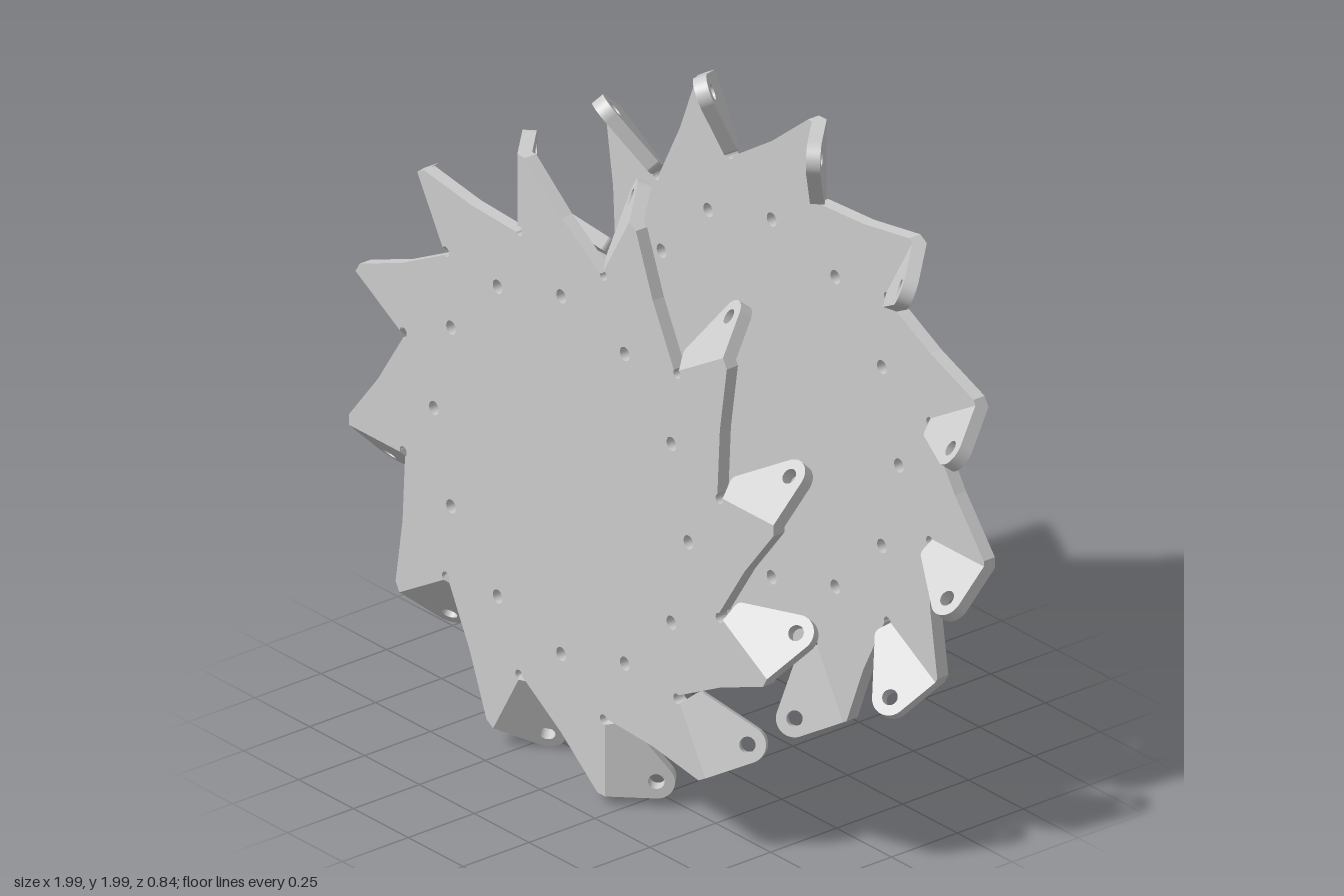
import * as THREE from 'three';

const COUNT = 12, STEP = Math.PI * 2 / COUNT;
const THICK = 0.042, FACE_Z = 0.42;   // sheet thickness, outer face position
const BEND_V = 0.2, RIM = 0.967;      // bend line offset, outer edge of each tooth

const circle = (x, y, r) => new THREE.Path().absarc(x, y, r, 0, Math.PI * 2, true);

// Flat sheet: saw-tooth outline with a round relief notch at each bend
function discShape() {
  const points = [];
  const origin = new THREE.Vector2();
  for (let k = 0; k < COUNT; k++) {
    const tooth = [[0.835, 0], [RIM, 0.165], [RIM, BEND_V], [0.735, BEND_V]];
    for (let i = 0; i <= 12; i++) {
      const a = THREE.MathUtils.degToRad(25 - 265 * i / 12);
      tooth.push([0.72 + 0.016 * Math.cos(a), 0.193 + 0.016 * Math.sin(a)]);
    }
    for (const [u, v] of tooth) points.push(new THREE.Vector2(u, v).rotateAround(origin, k * STEP));
  }
  const shape = new THREE.Shape(points);
  // ring of bolt holes
  for (let k = 0; k < COUNT; k++) {
    shape.holes.push(circle(0.58 * Math.cos(k * STEP), 0.58 * Math.sin(k * STEP), 0.022));
  }
  return shape;
}

// Bent tab: rounded tip with an axle hole
function tabShape() {
  const shape = new THREE.Shape();
  shape.moveTo(0.735, 0);
  shape.lineTo(RIM, 0);
  shape.lineTo(RIM, 0.15);
  shape.absarc(0.912, 0.15, 0.055, 0, THREE.MathUtils.degToRad(129), false);
  shape.lineTo(0.728, 0.075);
  shape.quadraticCurveTo(0.72, 0.065, 0.724, 0.05);
  shape.closePath();
  shape.holes.push(circle(0.912, 0.15, 0.024));
  return shape;
}

export function createModel() {
  const model = new THREE.Group();
  model.name = 'rollerWheelFrame';
  const material = new THREE.MeshStandardMaterial({ color: 0xcccccc });
  const options = { depth: THICK, bevelEnabled: false, curveSegments: 16 };

  const discGeometry = new THREE.ExtrudeGeometry(discShape(), options);
  discGeometry.translate(0, 0, FACE_Z - THICK);

  // fold the tab 45 degrees inward about the outer face's bend line
  const tabGeometry = new THREE.ExtrudeGeometry(tabShape(), options);
  tabGeometry.translate(0, 0, -THICK);
  tabGeometry.rotateX(-Math.PI / 4);
  tabGeometry.translate(0, BEND_V, FACE_Z);

  // two identical side plates, facing opposite ways
  ['frontPlate', 'backPlate'].forEach((name, side) => {
    const plate = new THREE.Group();
    plate.name = name;
    const disc = new THREE.Mesh(discGeometry, material);
    disc.name = 'toothedDisc';
    plate.add(disc);
    for (let k = 0; k < COUNT; k++) {
      const tab = new THREE.Mesh(tabGeometry, material);
      tab.name = 'rollerTab' + (k + 1);
      tab.rotation.z = k * STEP;
      plate.add(tab);
    }
    plate.position.y = 1;
    plate.rotation.y = side * Math.PI;
    model.add(plate);
  });
  return model;
}
